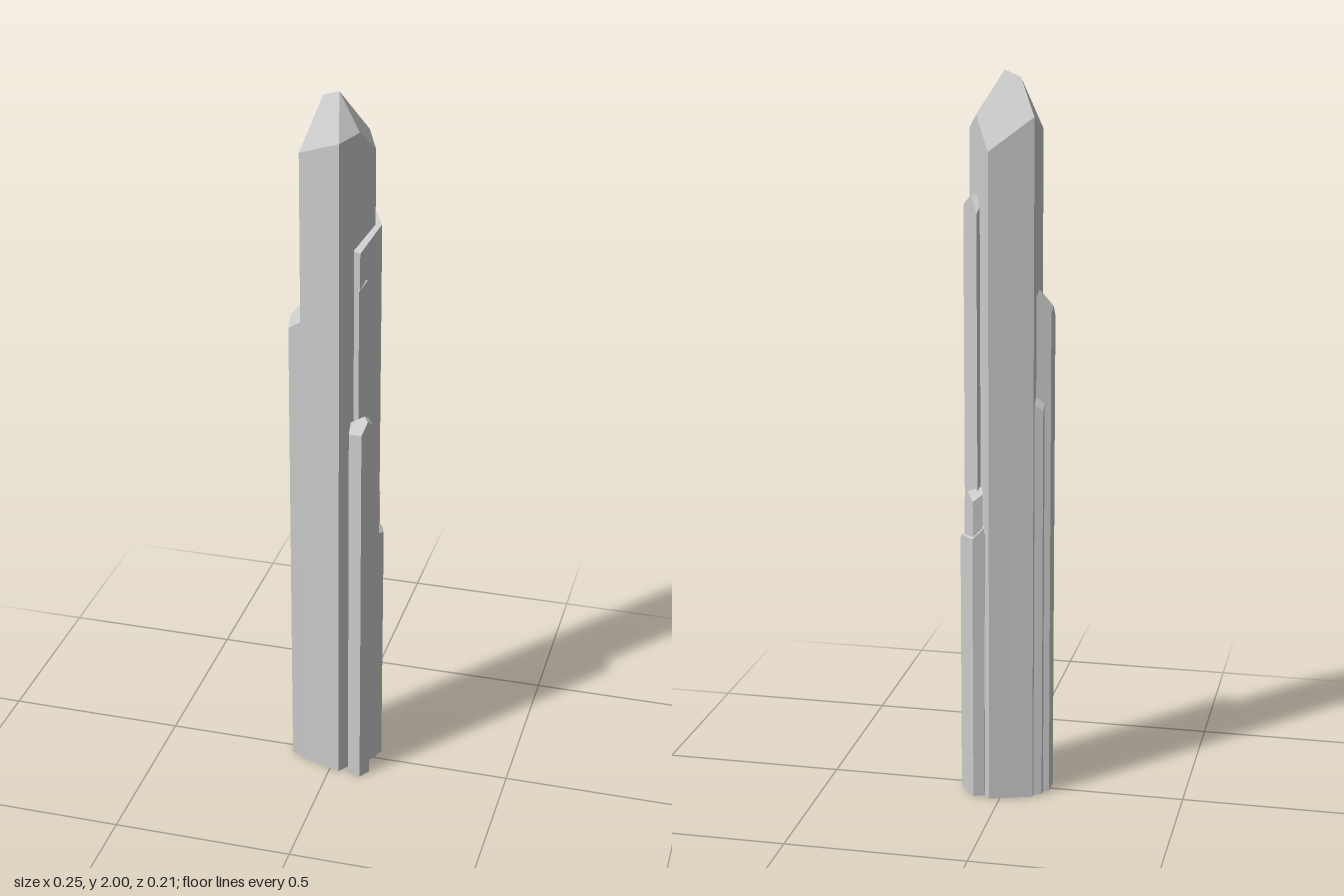
import * as THREE from 'three';
import { ConvexGeometry } from 'three/addons/geometries/ConvexGeometry.js';

const material = new THREE.MeshStandardMaterial({ color: 0xcccccc, flatShading: true });

// A crystal is a prism over an [x, z] outline, cut by sloping planes.
// Each cut is [x, y, z, slopeX, slopeZ]: a point on the plane and its rise along x and z.
function crystal(name, outline, cuts) {
  const planes = [new THREE.Plane(new THREE.Vector3(0, -1, 0), 0)];
  const cx = outline.reduce((s, p) => s + p[0], 0) / outline.length;
  const cz = outline.reduce((s, p) => s + p[1], 0) / outline.length;
  const middle = new THREE.Vector3(cx, 0, cz);
  outline.forEach(([x, z], i) => {
    const [x2, z2] = outline[(i + 1) % outline.length];
    const normal = new THREE.Vector3(z2 - z, 0, x - x2).normalize();
    const plane = new THREE.Plane().setFromNormalAndCoplanarPoint(normal, new THREE.Vector3(x, 0, z));
    if (plane.distanceToPoint(middle) > 0) plane.negate();
    planes.push(plane);
  });
  for (const [x, y, z, sx, sz] of cuts) {
    const normal = new THREE.Vector3(-sx, 1, -sz).normalize();
    planes.push(new THREE.Plane().setFromNormalAndCoplanarPoint(normal, new THREE.Vector3(x, y, z)));
  }

  // Corners are the meeting points of three planes that lie inside all the others
  const corners = [];
  for (let i = 0; i < planes.length; i++)
    for (let j = i + 1; j < planes.length; j++)
      for (let k = j + 1; k < planes.length; k++) {
        const [a, b, c] = [planes[i], planes[j], planes[k]];
        const bc = b.normal.clone().cross(c.normal);
        const det = a.normal.dot(bc);
        if (Math.abs(det) < 1e-6) continue;
        const p = bc.multiplyScalar(-a.constant)
          .addScaledVector(c.normal.clone().cross(a.normal), -b.constant)
          .addScaledVector(a.normal.clone().cross(b.normal), -c.constant)
          .divideScalar(det);
        const inside = planes.every((q) => q.distanceToPoint(p) < 1e-6);
        if (inside && !corners.some((q) => q.distanceTo(p) < 1e-4)) corners.push(p);
      }
  const mesh = new THREE.Mesh(new ConvexGeometry(corners), material);
  mesh.name = name;
  return mesh;
}

export function createModel() {
  const group = new THREE.Group();
  group.name = 'crystalCluster';

  // Tall pentagonal shaft with a five-faceted point
  const tip = [0.008, 2, 0.012];
  group.add(crystal('mainCrystal',
    [[-0.087, -0.068], [0.028, -0.105], [0.098, -0.01], [0.028, 0.092], [-0.087, 0.055]],
    [
      [...tip, -0.23, 1.67],
      [...tip, 0.91, -1.6],
      [...tip, -1.65, 0.1],
      [...tip, -1.19, -1.08],
      [-0.087, 1.888, -0.068, 2.41, -0.35],
    ]));

  // Pair on the -x side
  group.add(crystal('sideCrystalLarge',
    [[-0.125, -0.021], [-0.125, 0.037], [-0.07, 0.054], [-0.07, -0.038]],
    [[-0.125, 1.38, 0.012, 1.2, 0.35], [-0.125, 1.38, 0.012, 1.1, -1.2]]));
  group.add(crystal('sideCrystalSmall',
    [[-0.109, -0.046], [-0.109, -0.01], [-0.07, 0], [-0.07, -0.058]],
    [[-0.109, 1.12, -0.03, 1, 0.9], [-0.109, 1.12, -0.03, 1, -0.9]]));

  // Stepped cluster on the +x side, tallest to shortest
  group.add(crystal('clusterCrystalTall',
    [[0.066, -0.072], [0.115, -0.012], [0.075, 0.056], [0.058, 0.052], [0.03, -0.02]],
    [[0.085, 1.68, -0.048, 0, -0.88], [0.085, 1.68, -0.048, 0, 2]]));
  group.add(crystal('clusterCrystalMiddle',
    [[0.054, 0.04], [0.073, 0.059], [0.101, 0.023], [0.09, 0.015], [0.05, 0.01]],
    [[0.08, 1.515, 0.037, -0.5, -1.6], [0.08, 1.515, 0.037, -0.5, 1.6]]));
  group.add(crystal('clusterCrystalFront',
    [[0.055, 0.052], [0.055, 0.09], [0.093, 0.103], [0.113, 0.07], [0.09, 0.04]],
    [[0.093, 1.135, 0.07, 0.6, 0.9], [0.093, 1.135, 0.07, 0.6, -1.3], [0.093, 1.135, 0.07, -1, 0.2]]));
  group.add(crystal('clusterCrystalBack',
    [[0.108, -0.048], [0.075, -0.09], [0.05, -0.082], [0.06, -0.03]],
    [[0.085, 0.88, -0.065, -0.4, 1.2], [0.085, 0.88, -0.065, -0.4, -1.2]]));
  group.add(crystal('clusterCrystalShort',
    [[0.1, -0.002], [0.123, -0.032], [0.075, -0.097], [0.045, -0.086], [0.05, -0.02]],
    [[0.123, 0.735, -0.032, -1, -0.6], [0.123, 0.745, -0.032, -0.8, 0.5]]));

  return group;
}
